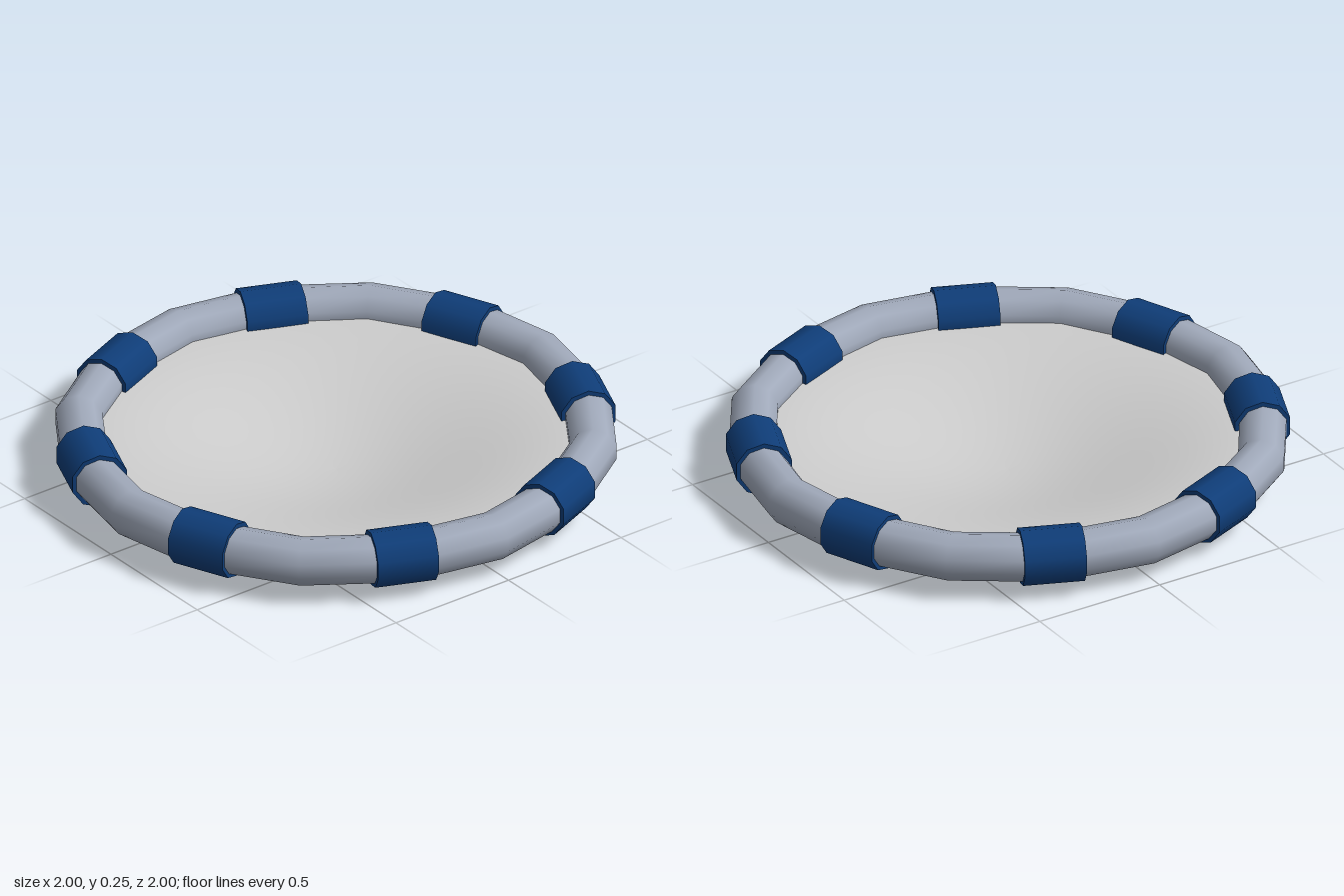
import * as THREE from 'three';
import { mergeVertices } from 'three/addons/utils/BufferGeometryUtils.js';

const SIDES = 10;      // sides of the tube and bands
const LEVEL = 0.142;   // height of the ring's centre line
const RING = 0.915;    // ring radius at its elbows
const rad = THREE.MathUtils.degToRad;

const material = (name, color, side = THREE.FrontSide) => {
  const m = new THREE.MeshStandardMaterial({ color, side });
  m.name = name;
  return m;
};

// Tube ring: an elbow every 45 degrees, with straight runs under the bands
function ringGeometry(tube) {
  const offsets = [0, 16, 29];
  const count = 24;
  const geo = new THREE.TorusGeometry(RING, tube, SIDES, count);
  const pos = geo.attributes.position;
  const chord = RING * Math.cos(rad(11.25));
  for (let j = 0; j <= SIDES; j++) {
    const v = rad(18) + ((j % SIDES) / SIDES) * Math.PI * 2;
    for (let i = 0; i <= count; i++) {
      const k = i % count;
      const offset = offsets[k % 3];
      const a = rad(45 * Math.floor(k / 3) + offset);
      const fold = Math.min(offset, 45 - offset);
      const r = chord / Math.cos(rad(fold - 11.25)) + tube * Math.cos(v);
      pos.setXYZ(j * (count + 1) + i, r * Math.cos(a), r * Math.sin(a), tube * Math.sin(v));
    }
  }
  geo.deleteAttribute('normal');
  geo.deleteAttribute('uv');
  const merged = mergeVertices(geo, 1e-5);
  merged.rotateX(-Math.PI / 2);
  merged.computeVertexNormals();
  return merged;
}

// Sagging sheet: flat at the rim and centre, steepest halfway
function sheetGeometry(radius) {
  const points = [];
  for (let i = 16; i >= 0; i--) {
    const t = i / 16;
    points.push(new THREE.Vector2(radius * t, LEVEL * (1 - Math.cos(Math.PI * t)) / 2));
  }
  return new THREE.LatheGeometry(points, 48);
}

export function createModel() {
  const model = new THREE.Group();
  model.name = 'ringWithSheet';
  const tubeGrey = material('tube grey', 0xa0a9ba);
  const bandBlue = material('band blue', 0x0f3d78);
  const sheetGrey = material('sheet grey', 0xcccccc, THREE.DoubleSide);

  const add = (name, geometry, mat) => {
    const mesh = new THREE.Mesh(geometry, mat);
    mesh.name = name;
    model.add(mesh);
    return mesh;
  };

  add('tubeRing', ringGeometry(0.0875), tubeGrey).position.y = LEVEL;
  add('sheet', sheetGeometry(0.88), sheetGrey);

  // Eight sleeves halfway between the elbows
  const bandGeo = new THREE.CylinderGeometry(0.104, 0.104, 0.222, SIDES, 1, false, Math.PI / 2);
  bandGeo.rotateZ(Math.PI / 2);
  for (let i = 0; i < 8; i++) {
    const a = rad(22.5 + 45 * i);
    const band = add('band', bandGeo, bandBlue);
    band.position.set(0.892 * Math.sin(a), LEVEL, 0.892 * Math.cos(a));
    band.rotation.y = a;
  }
  return model;
}
